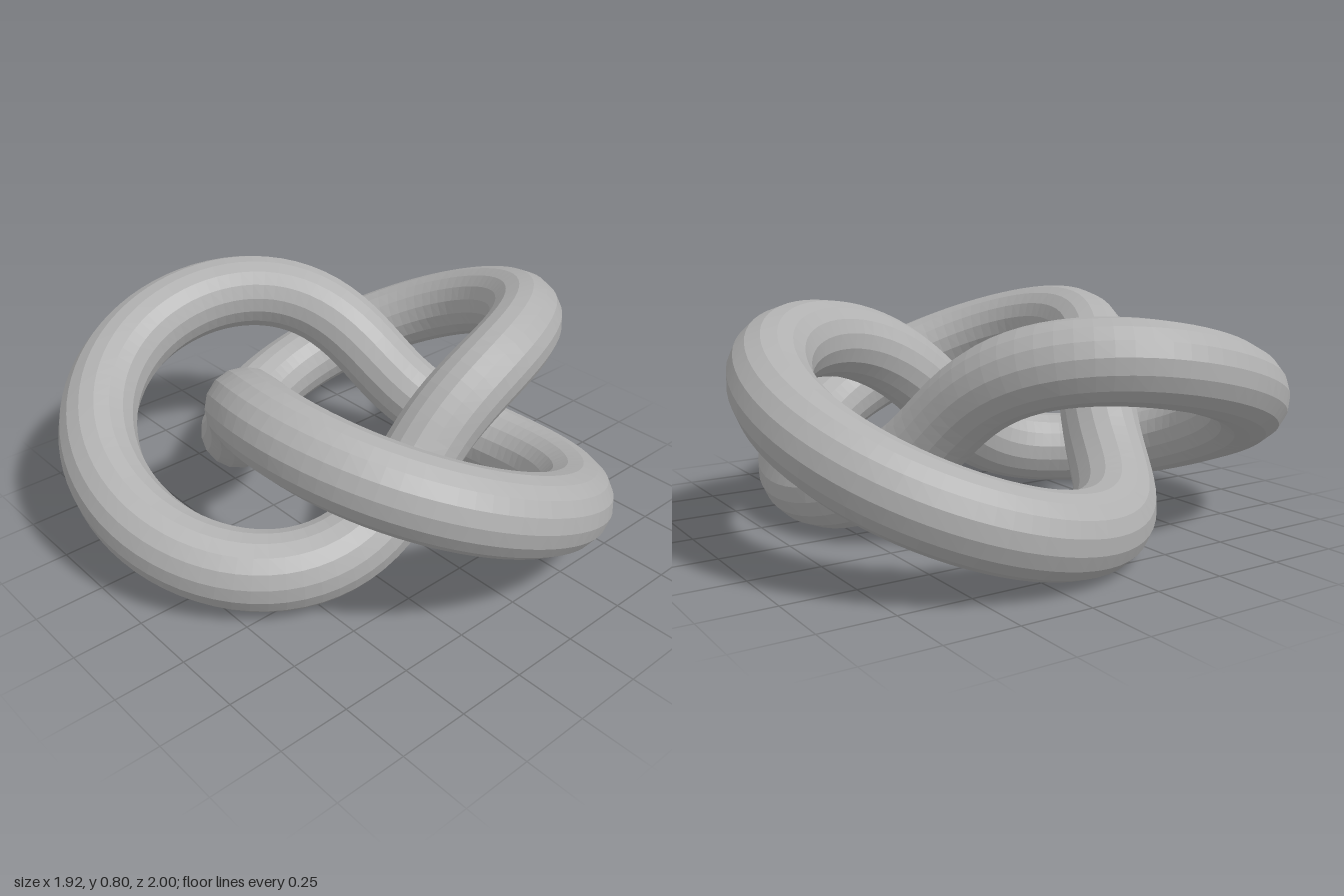
import * as THREE from 'three';

// Trefoil path: winds twice round the vertical axis and three times round a ring
class KnotCurve extends THREE.Curve {
  constructor(ringRadius, windRadius, centre) {
    super();
    this.ringRadius = ringRadius;
    this.windRadius = windRadius;
    this.centre = centre;
  }

  getPoint(t, target = new THREE.Vector3()) {
    const angle = t * Math.PI * 4;
    const r = this.ringRadius + this.windRadius * Math.cos(1.5 * angle);
    return target.set(
      r * Math.cos(angle),
      this.windRadius * Math.sin(1.5 * angle),
      r * Math.sin(angle)
    ).add(this.centre);
  }
}

export function createModel() {
  const model = new THREE.Group();
  model.name = 'trefoilKnot';

  const grey = new THREE.MeshStandardMaterial({ color: 0xb0b0b0, flatShading: true });
  grey.name = 'grey';

  // One closed round tube, resting on the ground at its three low points
  const path = new KnotCurve(0.65, 0.262, new THREE.Vector3(-0.088, 0.4, 0));
  const tube = new THREE.Mesh(new THREE.TubeGeometry(path, 200, 0.138, 16, true), grey);
  tube.name = 'knotTube';
  model.add(tube);

  return model;
}
